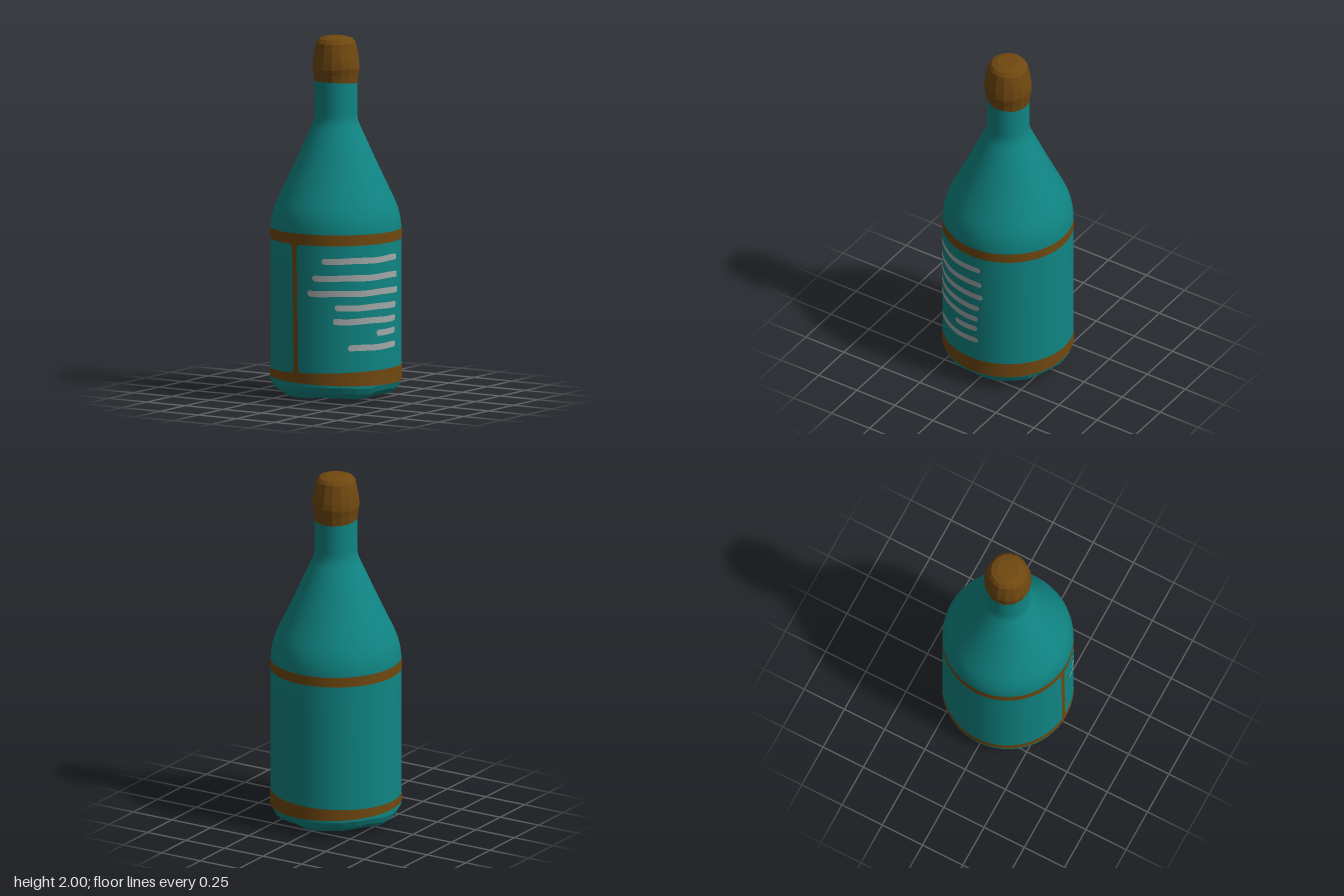
import * as THREE from 'three';

const mat = (name, color) => {
  const m = new THREE.MeshStandardMaterial({ color });
  m.name = name;
  return m;
};

export function createModel() {
  const teal = mat('teal glass', 0x0f8583);
  const brown = mat('brown foil', 0x704810);
  const grey = mat('pale grey print', 0xa2a8a8);
  const group = new THREE.Group();
  group.name = 'bottle';

  const add = (name, geometry, material) => {
    const mesh = new THREE.Mesh(geometry, material);
    mesh.name = name;
    group.add(mesh);
  };
  const lathe = (points, sides) =>
    new THREE.LatheGeometry(points.map(([r, y]) => new THREE.Vector2(r, y)), sides);

  // Faceted, slightly uneven lathe: the rule returns a y offset for each vertex
  const roughLathe = (points, sides, rule) => {
    const geo = lathe(points, sides);
    const p = geo.attributes.position;
    for (let i = 0; i < p.count; i++) {
      const x = p.getX(i), y = p.getY(i), z = p.getZ(i);
      p.setY(i, y + rule(x, y, z));
    }
    const flat = geo.toNonIndexed();
    flat.computeVertexNormals();
    return flat;
  };

  // Thin skin on the bottle wall: map(u, v) gives [angle from front, height]
  const skin = (map, nu, nv, radius = 0.3625) => {
    const geo = new THREE.PlaneGeometry(1, 1, nu, nv);
    const { position: p, normal: n } = geo.attributes;
    for (let i = 0; i < p.count; i++) {
      const [a, y] = map(p.getX(i) + 0.5, p.getY(i) + 0.5);
      p.setXYZ(i, radius * Math.sin(a), y, radius * Math.cos(a));
      n.setXYZ(i, Math.sin(a), 0, Math.cos(a));
    }
    return geo;
  };

  // Glass wall, shoulder and neck
  add('bottleBody', lathe([
    [0.36, 0.1], [0.36, 0.5], [0.36, 0.94], [0.353, 1.0], [0.34, 1.05], [0.32, 1.1],
    [0.272, 1.2], [0.225, 1.3], [0.18, 1.4], [0.134, 1.5], [0.122, 1.53],
    [0.117, 1.57], [0.117, 1.78],
  ], 48), teal);

  // Uneven rounded base
  add('base', roughLathe([
    [0, 0], [0.12, 0.01], [0.23, 0.02], [0.31, 0.035], [0.342, 0.062], [0.357, 0.095], [0.36, 0.13],
  ], 28, (x, y, z) => {
    const a = Math.atan2(x, z);
    return y > 0.015 && y < 0.1 ? 0.006 * Math.sin(5 * a) + 0.004 * Math.sin(9 * a + 1) : 0;
  }), teal);

  // Foil cap with a tilted lower edge
  add('foilCap', roughLathe([
    [0.119, 1.745], [0.124, 1.785], [0.132, 1.825], [0.129, 1.865], [0.121, 1.91],
    [0.109, 1.965], [0.093, 1.986], [0.06, 1.997], [0, 2.0],
  ], 16, (x, y, z) => {
    if (y < 1.8) return 0.09 * z;
    return y < 1.95 ? 0.006 * Math.sin(3 * Math.atan2(x, z) + y * 20) : 0;
  }), brown);

  // Bands around the wall
  const band = (low, high) => skin((u, v) => {
    const a = u * Math.PI * 2;
    return [a, THREE.MathUtils.lerp(low(a), high(a), v)];
  }, 96, 1);
  add('upperBand', band(() => 0.885, (a) => 0.943 + 0.003 * Math.cos(a)), brown);
  add('lowerBand', band((a) => 0.11 - 0.01 * Math.sin(a) + 0.006 * Math.cos(a),
    (a) => 0.177 + 0.011 * Math.sin(a) - 0.003 * Math.cos(a)), brown);

  // Upright label edge, flared where it meets the bands
  add('labelEdge', skin((u, v) => {
    const y = 0.16 + v * 0.74;
    const end = Math.min(y - 0.16, 0.9 - y);
    const half = 0.042 + 0.09 * Math.exp(-end / 0.013);
    return [-0.09 + 0.03 * (0.5 - v) + (u - 0.5) * 2 * half, y];
  }, 6, 48, 0.363), brown);

  // Printed lines with rounded ends: [height, start angle, end angle]
  const lines = [
    [0.8, 0.36, 1.72], [0.705, 0.21, 1.74], [0.62, 0.13, 1.76], [0.54, 0.56, 1.7],
    [0.465, 0.53, 1.68], [0.395, 1.24, 1.67], [0.317, 0.76, 1.68],
  ];
  lines.forEach(([y, start, end], i) => {
    const geo = skin((u, v) => {
      const t = (1 - Math.cos(u * Math.PI)) / 2;
      const a = THREE.MathUtils.lerp(start, end, t);
      const edge = Math.min(1, Math.min(a - start, end - a) / 0.045);
      const half = 0.017 * Math.sqrt(Math.max(0, 1 - (1 - edge) ** 2));
      return [a, y + (v - 0.5) * 2 * half + 0.002 * Math.sin(a * 9 + i)];
    }, 40, 1, 0.3635);
    add('printedLine' + (i + 1), geo, grey);
  });

  return group;
}
